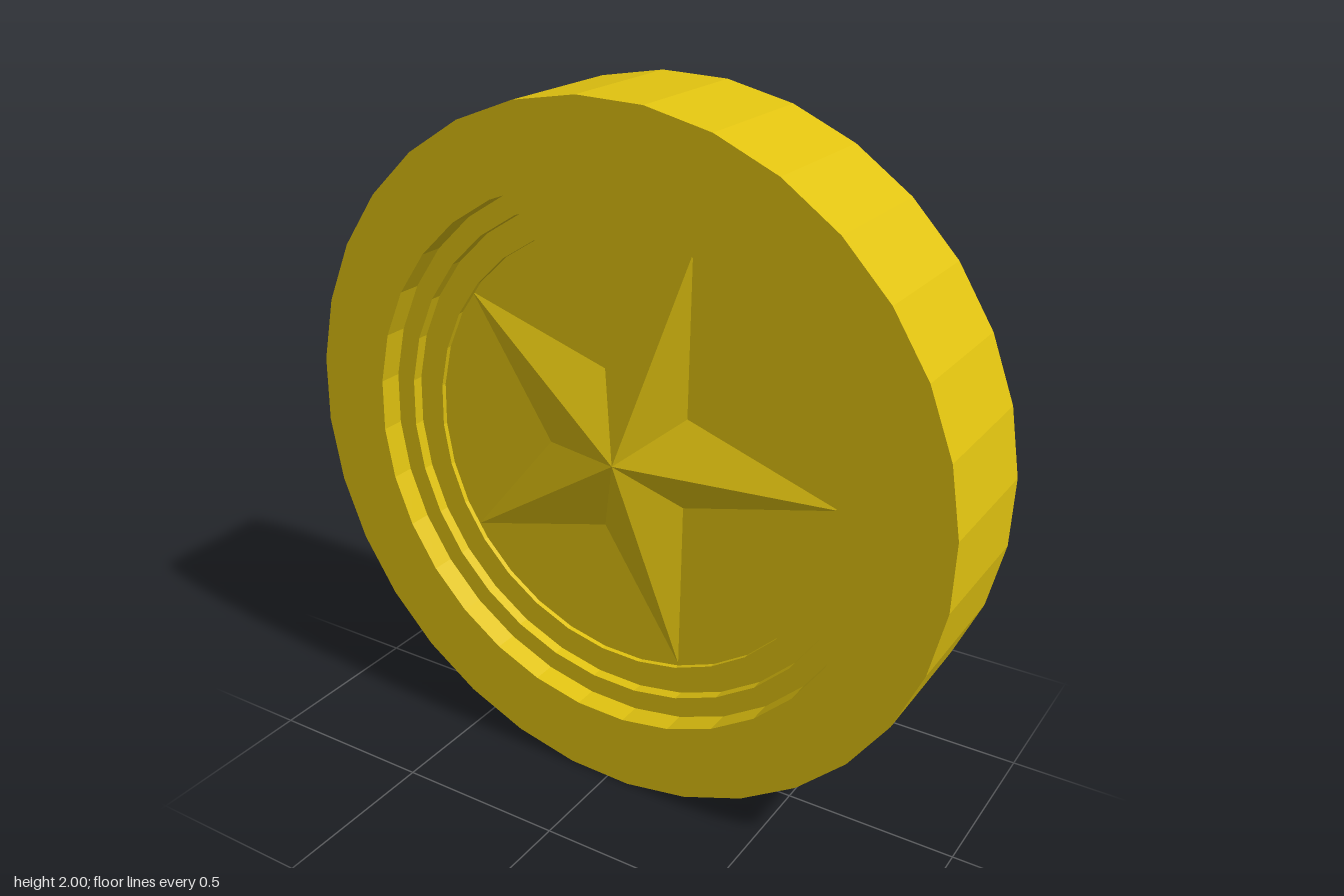
import * as THREE from 'three';

const FLOOR = 0.087; // z of the recessed floor on each face

// Star outline, alternating tip and notch, counter-clockwise about the coin centre
const STAR = [
  [0.64, 0.005], [0.19, 0.155], [0.2, 0.61], [-0.07, 0.246], [-0.515, 0.385],
  [-0.257, -0.016], [-0.53, -0.35], [-0.075, -0.23], [0.17, -0.61], [0.18, -0.11],
];

// Faceted star: a fan of triangles from the raised apex; side is +1 front, -1 back
function starGeometry(side) {
  const positions = [];
  STAR.forEach((a, i) => {
    const b = STAR[(i + 1) % STAR.length];
    const [p, q] = side > 0 ? [a, b] : [b, a];
    positions.push(0, 0, side * 0.165, ...p, side * FLOOR, ...q, side * FLOOR);
  });
  const geometry = new THREE.BufferGeometry();
  geometry.setAttribute('position', new THREE.Float32BufferAttribute(positions, 3));
  geometry.computeVertexNormals();
  return geometry;
}

export function createModel() {
  const gold = new THREE.MeshStandardMaterial({ color: 0xe0c210, flatShading: true });
  gold.name = 'gold';
  const model = new THREE.Group();
  model.name = 'coin';

  // Coin body: one face from centre to rim in stepped rings, mirrored to the other face
  const half = [
    [0, FLOOR], [0.64, FLOOR], [0.64, 0.102], [0.72, 0.102],
    [0.72, 0.135], [0.78, 0.135], [0.78, 0.205], [1, 0.205],
  ];
  const profile = [
    ...half.map(([r, z]) => new THREE.Vector2(r, -z)),
    ...[...half].reverse().map(([r, z]) => new THREE.Vector2(r, z)),
  ];
  const bodyGeometry = new THREE.LatheGeometry(profile, 32, 0.07).rotateX(Math.PI / 2);
  const body = new THREE.Mesh(bodyGeometry, gold);
  body.name = 'coinBody';
  body.position.y = 1;
  model.add(body);

  // Raised stars on both faces
  for (const side of [1, -1]) {
    const star = new THREE.Mesh(starGeometry(side), gold);
    star.name = side > 0 ? 'frontStar' : 'backStar';
    star.position.y = 1;
    model.add(star);
  }
  return model;
}
